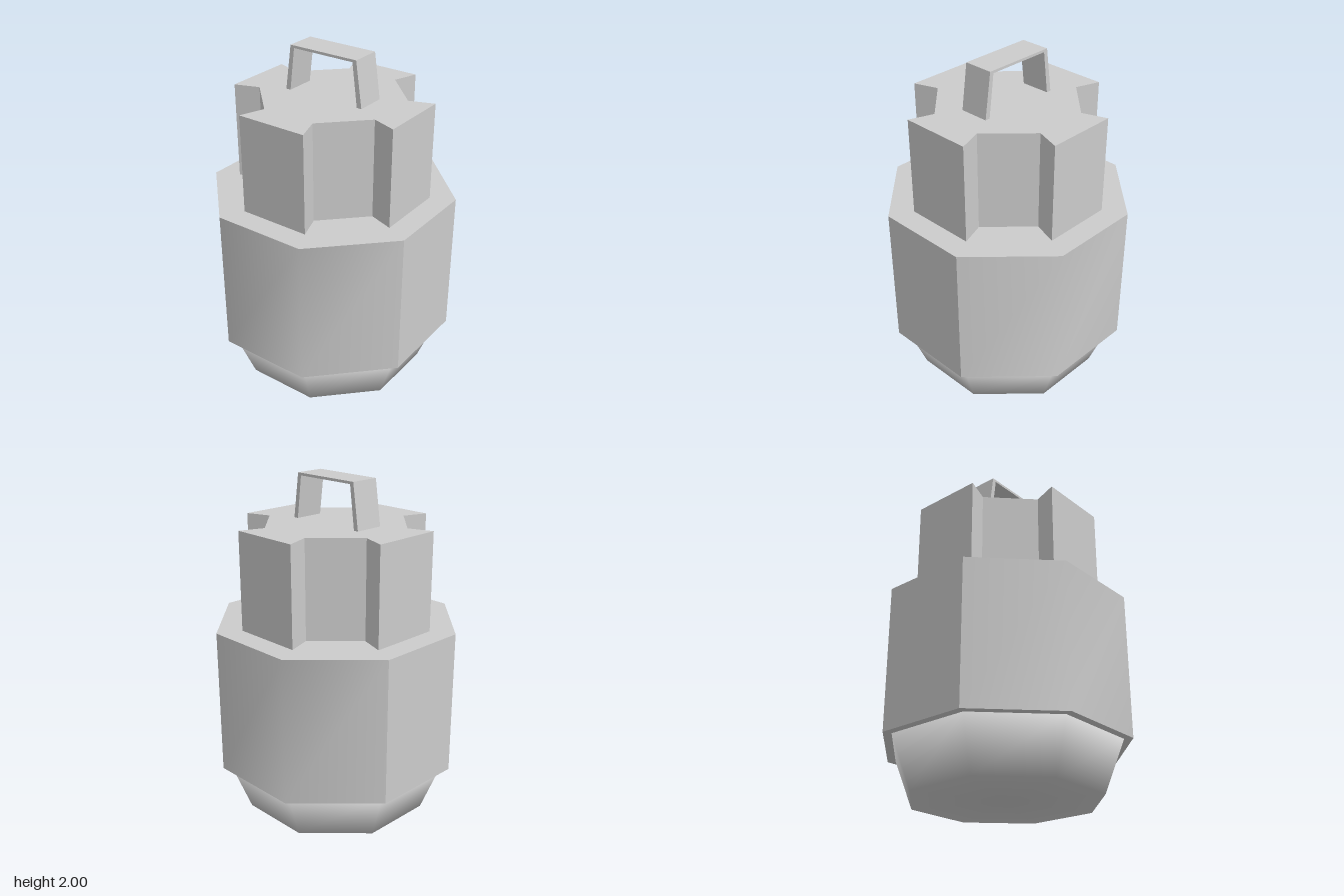
import * as THREE from 'three';
import { mergeVertices } from 'three/addons/utils/BufferGeometryUtils.js';

const STEP = Math.PI / 4;
const corner = (apothem) => apothem / Math.cos(STEP / 2);

export function createModel() {
  const model = new THREE.Group();
  const material = new THREE.MeshStandardMaterial({ color: 0xcccccc });

  const add = (name, geometry, y = 0, parent = model) => {
    const mesh = new THREE.Mesh(geometry, material);
    mesh.name = name;
    mesh.position.y = y;
    parent.add(mesh);
    return mesh;
  };

  // Prism standing on y = 0, from a plan outline
  const prism = (points, height) => {
    const shape = new THREE.Shape(points.map(([x, y]) => new THREE.Vector2(x, y)));
    return new THREE.ExtrudeGeometry(shape, { depth: height, bevelEnabled: false });
  };

  // Tapered octagonal base, smooth shaded across sides and bottom
  let base = new THREE.CylinderGeometry(corner(0.63), corner(0.52), 0.3, 8, 1, false, STEP / 2);
  base.deleteAttribute('normal');
  base.deleteAttribute('uv');
  base = mergeVertices(base);
  base.computeVertexNormals();
  add('base', base, 0.15);

  // Octagonal body: smooth front and back shells, crisp flat sides, two caps
  const body = new THREE.Group();
  body.name = 'body';
  model.add(body);
  const R = corner(0.675), bottom = 0.295, top = 1.155;
  const shell = (name, faces, middle) => {
    const g = new THREE.CylinderGeometry(R, R, top - bottom, faces, 1, true,
      middle - faces * STEP / 2, faces * STEP);
    g.computeVertexNormals();
    add(name, g, (top + bottom) / 2, body);
  };
  shell('bodyFront', 3, 0);
  shell('bodyLeft', 1, Math.PI / 2);
  shell('bodyBack', 3, Math.PI);
  shell('bodyRight', 1, -Math.PI / 2);
  for (const [name, y, tilt] of [['bodyTop', top, -1], ['bodyBottom', bottom, 1]]) {
    const cap = new THREE.CircleGeometry(R, 8, STEP / 2);
    cap.rotateX(tilt * Math.PI / 2);
    add(name, cap, y, body);
  }

  // Cross-shaped crown with four flared lobes
  const outline = [];
  const lobe = [[0.395, -0.163], [0.54, -0.214], [0.54, 0.214], [0.395, 0.163]];
  for (let i = 0; i < 4; i++) {
    const c = Math.round(Math.cos(i * Math.PI / 2)), s = Math.round(Math.sin(i * Math.PI / 2));
    for (const [x, y] of lobe) outline.push([x * c - y * s, x * s + y * c]);
  }
  const crown = prism(outline, 0.58);
  crown.rotateX(-Math.PI / 2);
  add('crown', crown, top);

  // Flat-strap carrying handle
  const half = [[0.258, 1.735], [0.22, 2], [-0.22, 2], [-0.258, 1.735],
    [-0.228, 1.735], [-0.196, 1.985], [0.196, 1.985], [0.228, 1.735]];
  const handle = prism(half, 0.178);
  handle.translate(0, 0, -0.089);
  add('handle', handle);

  return model;
}
